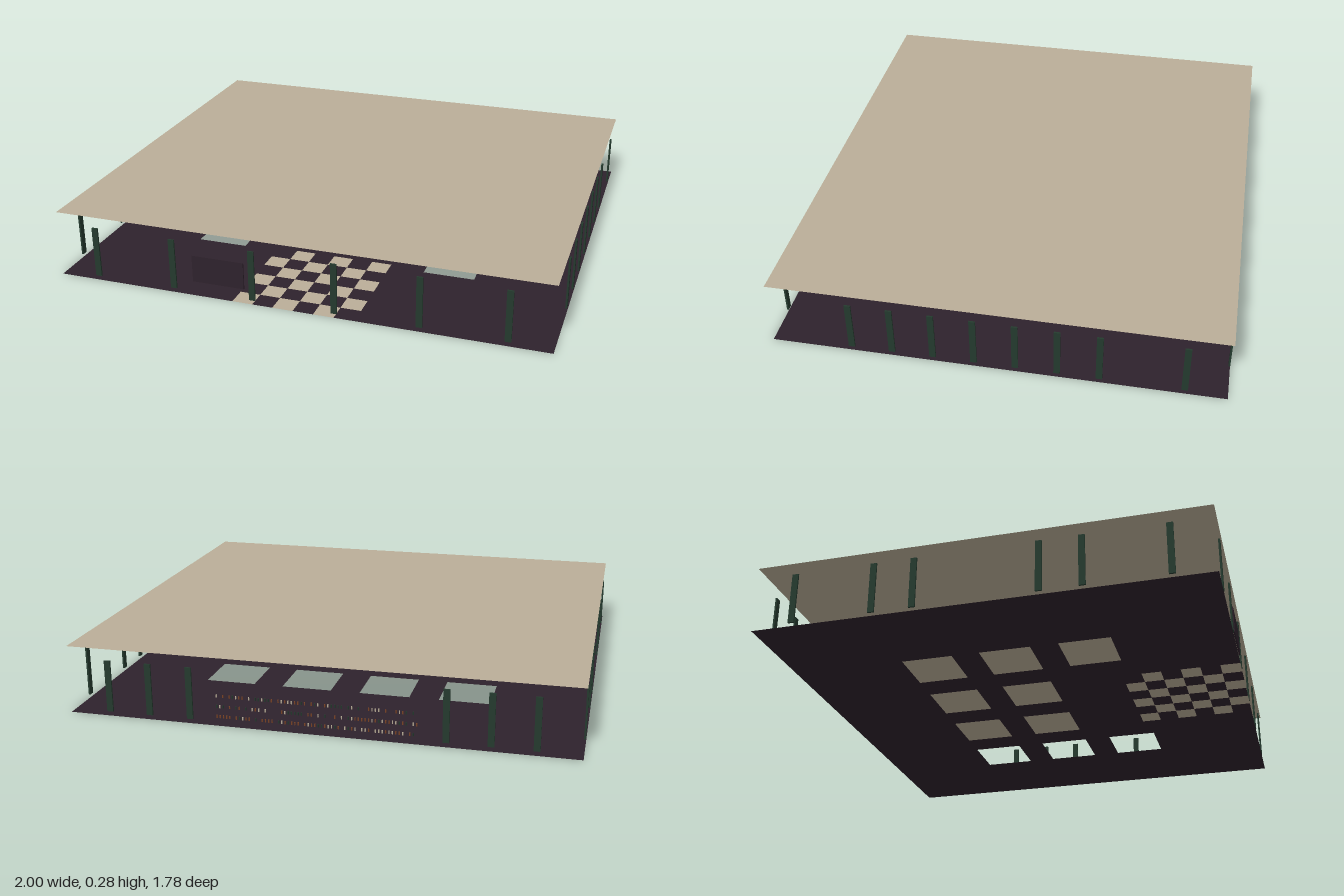
import * as THREE from 'three';

const W = 1, D = 0.89, CEILING = 0.275;
const CX = 1 / 6, CZ = (2 * D) / 11; // wall bay widths

const mat = (name, color, side = THREE.FrontSide) => {
  const m = new THREE.MeshStandardMaterial({ color, side });
  m.name = name;
  return m;
};

export function createModel() {
  const model = new THREE.Group();
  model.name = 'pavilion';
  const tan = mat('tan plaster', 0xbaae98, THREE.DoubleSide);
  const plum = mat('dark plum', 0x2e222c, THREE.DoubleSide);
  const green = mat('dark green', 0x243a2e);
  const brown = mat('amber brown', 0x7d4527);

  const add = (name, geometry, material, x = 0, y = 0, z = 0, parent = model) => {
    const mesh = new THREE.Mesh(geometry, material);
    mesh.name = name;
    mesh.position.set(x, y, z);
    parent.add(mesh);
    return mesh;
  };
  const group = (name) => {
    const g = new THREE.Group();
    g.name = name;
    model.add(g);
    return g;
  };

  // Ceiling sheet
  add('ceiling', new THREE.PlaneGeometry(2 * W, 2 * D).rotateX(-Math.PI / 2), tan, 0, CEILING, 0);

  // Floor outline, notched at the front for the checkered floor (shape y = -z)
  const checkX = 0.25, checkZ = D - 3 * CZ;
  const floor = new THREE.Shape([
    [-W, -D], [-checkX, -D], [-checkX, -checkZ], [checkX, -checkZ],
    [checkX, -D], [W, -D], [W, D], [-W, D],
  ].map(([x, y]) => new THREE.Vector2(x, y)));

  // Square floor openings, leaving out the two at the checkered floor
  const h = 0.105;
  for (const z of [-2 * CZ, 0, 2 * CZ]) {
    for (const x of [-3 * CX, -CX, CX, 3 * CX]) {
      if (z > 0 && Math.abs(x) < 0.3) continue;
      floor.holes.push(new THREE.Path([[-h, -h], [-h, h], [h, h], [h, -h]]
        .map(([a, b]) => new THREE.Vector2(x + a, -z + b))));
    }
  }
  add('floor', new THREE.ShapeGeometry(floor).rotateX(-Math.PI / 2), plum);

  // Checkered floor, six by six tiles
  const checks = group('checkeredFloor');
  const tx = (2 * checkX) / 6, tz = (D - checkZ) / 6;
  const tile = new THREE.PlaneGeometry(tx, tz).rotateX(-Math.PI / 2);
  for (let i = 0; i < 6; i++) {
    for (let j = 0; j < 6; j++) {
      add('floorTile', tile, (i + j) % 2 ? plum : tan,
        -checkX + (i + 0.5) * tx, 0, D - (j + 0.5) * tz, checks);
    }
  }

  // Flat wall posts around the edge
  const posts = group('posts');
  const T = 0.007, postY = 0.122;
  const zPost = new THREE.BoxGeometry(0.025, 0.21, T);
  const xPost = new THREE.BoxGeometry(T, 0.21, 0.025);
  for (const k of [-5, -3, -1, 1, 3, 5]) add('frontPost', zPost, green, k * CX, postY, D - T / 2, posts);
  for (const k of [-5, -4, -3, 3, 4, 5]) add('backPost', zPost, green, k * CX, postY, -D + T / 2, posts);
  for (const k of [-4.5, -2.5, -1.5, -0.5, 0.5, 1.5, 2.5, 3.5]) {
    add('leftPost', xPost, green, W - T / 2, postY, k * CZ, posts);
  }
  for (const k of [-4.5, -2.5, -1.5, 1.5, 2.5, 4.5]) {
    add('rightPost', xPost, green, -W + T / 2, postY, k * CZ, posts);
  }

  // Board on the front wall
  add('wallBoard', new THREE.BoxGeometry(0.215, 0.112, 0.006), plum, -0.307, 0.116, D - 0.004);

  // Three rows of small bottles along the back wall
  const bottles = group('bottles');
  const body = new THREE.CylinderGeometry(0.0028, 0.0028, 0.012, 6);
  let seed = 7;
  const rand = () => (seed = (seed * 16807) % 2147483647) / 2147483647;
  for (const y of [0.036, 0.077, 0.12]) {
    for (let x = -0.39; x <= 0.391; x += 0.013) {
      const pick = rand();
      if (pick < 0.25) continue;
      add('bottle', body, pick < 0.6 ? brown : pick < 0.85 ? tan : green, x, y, -D + 0.006, bottles);
    }
  }

  // Two facing benches near the right wall
  for (const s of [-1, 1]) {
    const bench = group('bench');
    add('seat', new THREE.BoxGeometry(0.08, 0.01, 0.03), plum, -0.805, 0.016, s * 0.09, bench);
    add('backrest', new THREE.BoxGeometry(0.076, 0.014, 0.007), plum, -0.805, 0.023, s * 0.104, bench);
    add('base', new THREE.BoxGeometry(0.07, 0.011, 0.02), plum, -0.805, 0.0056, s * 0.092, bench);
    for (const e of [-1, 1]) {
      add('armrest', new THREE.BoxGeometry(0.006, 0.008, 0.026), plum, -0.805 + e * 0.037, 0.024, s * 0.09, bench);
    }
  }

  return model;
}
